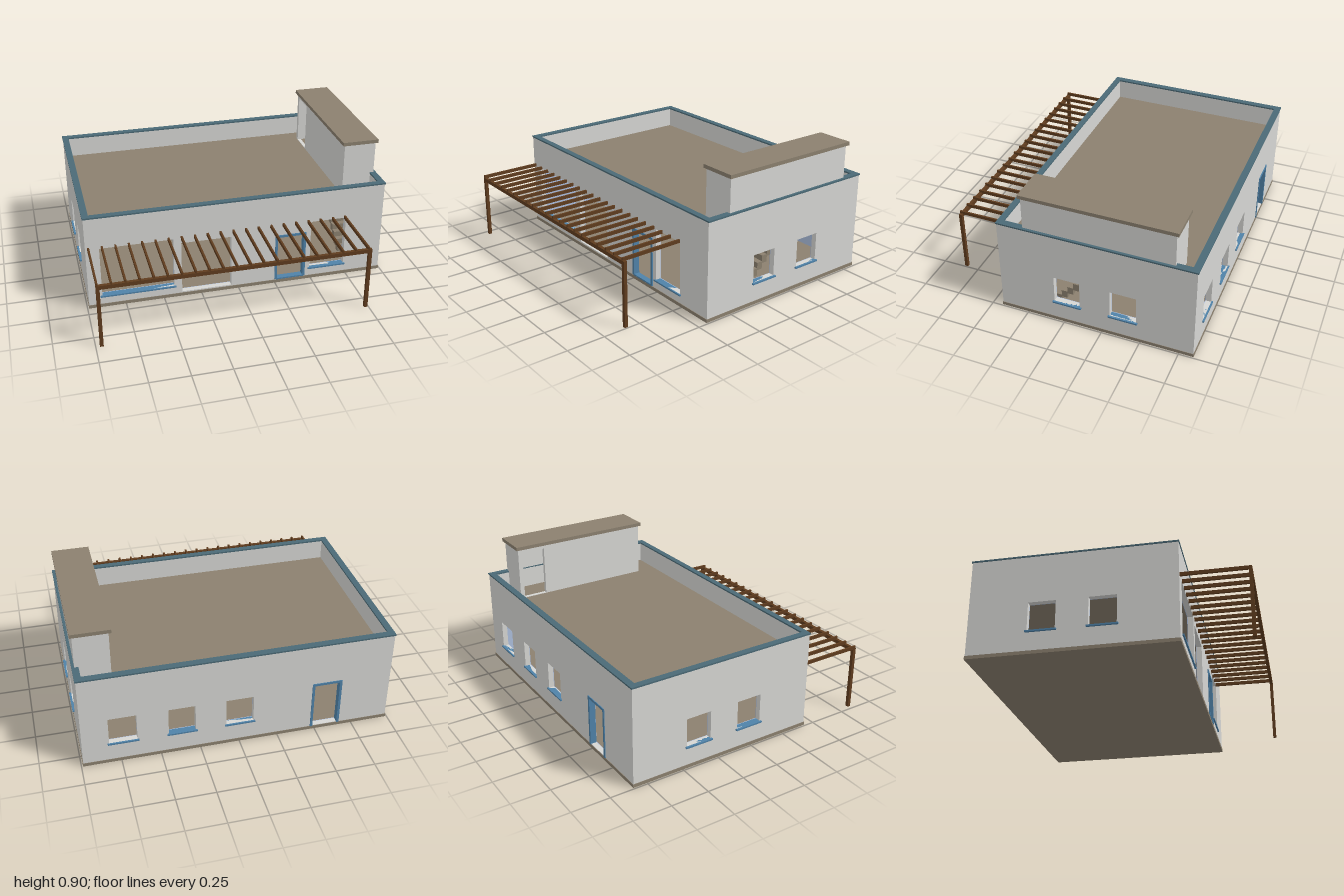
import * as THREE from 'three';

const mat = (name, color, extra = {}) => Object.assign(new THREE.MeshStandardMaterial({ color, ...extra }), { name });

export function createModel() {
  const wall = mat('plaster', 0xd6d6d3);
  const lining = mat('interior blue', 0xacbedd);
  const stone = mat('stone brown', 0x8b806f);
  const teal = mat('coping teal', 0x4b6a76);
  const trim = mat('trim blue', 0x4f82a8);
  const wood = mat('timber', 0x5f3c1e);

  const model = new THREE.Group();
  model.name = 'house';

  const add = (name, geo, m, parent = model) => {
    const mesh = new THREE.Mesh(geo, m);
    mesh.name = name;
    parent.add(mesh);
    return mesh;
  };
  // Box from its extents on each axis
  const box = (name, m, x0, x1, y0, y1, z0, z1, parent) => {
    const g = new THREE.BoxGeometry(x1 - x0, y1 - y0, z1 - z0);
    g.translate((x0 + x1) / 2, (y0 + y1) / 2, (z0 + z1) / 2);
    return add(name, g, m, parent);
  };
  const rect = (Type, a0, a1, b0, b1) => {
    const p = new Type();
    p.moveTo(a0, b0).lineTo(a1, b0).lineTo(a1, b1).lineTo(a0, b1).closePath();
    return p;
  };
  // Rectangular sheet with rectangular holes, each given as [a0, a1, b0, b1]
  const sheet = (outer, holes, depth) => {
    const s = rect(THREE.Shape, ...outer);
    s.holes = holes.map(h => rect(THREE.Path, ...h));
    return new THREE.ExtrudeGeometry(s, { depth, bevelEnabled: false });
  };
  // Wall panels: across x starting at z, or across z ending at x
  const wallX = (name, m, outer, holes, z, t) => add(name, sheet(outer, holes, t).translate(0, 0, z), m);
  const wallZ = (name, m, outer, holes, x, t) =>
    add(name, sheet(outer, holes, t).rotateY(-Math.PI / 2).translate(x, 0, 0), m);
  // Horizontal slab with holes, outlines given as x and z extents
  const slab = (name, m, outer, holes, yTop, t) =>
    add(name, sheet(outer, holes, t).rotateX(Math.PI / 2).translate(0, yTop, 0), m);

  const X = 0.987, ZF = 0.43, ZB = -0.84, T = 0.035, L = 0.004;
  const H = 0.645, ROOF = 0.51, CEIL = 0.49;

  // Openings as [from, to, bottom, top]
  const frontWindows = [[-0.9, -0.43, 0.083, 0.43], [0.49, 0.73, 0.083, 0.43]];
  const wideDoor = [-0.38, -0.05, 0.03, 0.395];
  const frontDoor = [0.257, 0.447, 0.03, 0.35];
  const backDoor = [-0.655, -0.48, 0.025, 0.35];
  const backWindows = [[-0.09, 0.085], [0.28, 0.45], [0.645, 0.82]].map(w => [...w, 0.15, 0.335]);
  const sideWindows = [[-0.472, -0.302], [-0.105, 0.065]].map(w => [...w, 0.15, 0.335]);
  const frontHoles = [...frontWindows, wideDoor, frontDoor];
  const backHoles = [...backWindows, backDoor];

  // Floor slab
  box('floorSlab', stone, -0.99, 0.99, 0, 0.022, ZB - 0.003, ZF + 0.004);

  // Outer walls with parapet
  wallX('frontWall', wall, [-X, X, 0.022, H], frontHoles, ZF - T, T);
  wallX('backWall', wall, [-X, X, 0.022, H], backHoles, ZB, T);
  const sideSpan = [ZB + T, ZF - T];
  wallZ('leftWall', wall, [...sideSpan, 0.022, H], sideWindows, X, T);
  wallZ('rightWall', wall, [...sideSpan, 0.022, H], sideWindows, -X + T, T);

  // Blue inner faces of the walls
  const inX = X - T;
  wallX('frontLining', lining, [-inX, inX, 0.022, CEIL], frontHoles, ZF - T - L, L);
  wallX('backLining', lining, [-inX, inX, 0.022, CEIL], backHoles, ZB + T, L);
  wallZ('leftLining', lining, [...sideSpan, 0.022, CEIL], sideWindows, inX, L);
  wallZ('rightLining', lining, [...sideSpan, 0.022, CEIL], sideWindows, -inX + L, L);

  // Roof with stairwell, and coping round the parapet
  slab('roof', stone, [-inX, inX, ...sideSpan], [[0.785, 0.945, -0.34, 0.23]], ROOF, ROOF - CEIL);
  slab('coping', teal, [-0.992, 0.992, ZB - 0.005, ZF + 0.004],
    [[-0.95, 0.95, ZB + 0.038, ZF - 0.035]], 0.655, 0.01);

  // Window sills
  const SILL = 0.01;
  for (const [a, b, y] of frontWindows)
    box('frontSill', trim, a - 0.012, b + 0.01, y - SILL, y, ZF - T, ZF + 0.01);
  for (const [a, b, y] of backWindows)
    box('backSill', trim, a - 0.01, b + 0.01, y - SILL, y, ZB - 0.01, ZB + T);
  for (const [a, b, y] of sideWindows) {
    box('leftSill', trim, X - T, 1, y - SILL, y, a - 0.01, b + 0.01);
    box('rightSill', trim, -1, -X + T, y - SILL, y, a - 0.01, b + 0.01);
  }

  // Door frames
  const doorFrame = (name, [a, b, y0, y1], z0, z1) => {
    const g = new THREE.Group();
    g.name = name;
    model.add(g);
    box('jamb', trim, a - 0.01, a + 0.006, y0 - 0.003, y1 + 0.01, z0, z1, g);
    box('jamb', trim, b - 0.006, b + 0.01, y0 - 0.003, y1 + 0.01, z0, z1, g);
    box('head', trim, a + 0.006, b - 0.006, y1 - 0.006, y1 + 0.01, z0, z1, g);
  };
  doorFrame('frontDoorFrame', frontDoor, ZF - T, ZF + 0.006);
  doorFrame('backDoorFrame', backDoor, ZB - 0.005, ZB + T);
  box('frontDoorThreshold', trim, frontDoor[0], frontDoor[1], 0.024, 0.034, ZF - T, ZF + 0.006);

  // Stair rising from front to back
  const stair = new THREE.Group();
  stair.name = 'stair';
  model.add(stair);
  for (let i = 0; i < 13; i++) {
    const top = 0.06 + i * 0.0375, z = 0.19 - i * 0.039;
    box('step', stone, 0.785, 0.945, Math.max(0.022, top - 0.05), top, z - 0.039, z, stair);
  }

  // Stair house on the roof, with a doorway to the terrace
  const hx0 = 0.76, hx1 = 0.975, hz0 = -0.705, hz1 = 0.26, hTop = 0.872, ht = 0.025;
  wallZ('stairHouseInnerWall', wall, [hz0 + ht, hz1 - ht, ROOF, hTop],
    [[-0.675, -0.51, ROOF + 0.003, 0.845]], hx0 + ht, ht);
  wallZ('stairHouseOuterWall', wall, [hz0 + ht, hz1 - ht, ROOF, hTop], [], hx1, ht);
  box('stairHouseFront', wall, hx0, hx1, ROOF, hTop, hz1 - ht, hz1);
  box('stairHouseBack', wall, hx0, hx1, ROOF, hTop, hz0, hz0 + ht);
  box('stairHouseRoof', stone, 0.745, 0.989, hTop, 0.896, -0.72, 0.272);

  // Pergola
  const pergola = new THREE.Group();
  pergola.name = 'pergola';
  model.add(pergola);
  for (const x of [-0.963, 0.732])
    box('post', wood, x - 0.011, x + 0.011, 0, 0.41, 0.829, 0.85, pergola);
  box('beam', wood, -0.974, 0.743, 0.405, 0.43, 0.829, 0.85, pergola);
  for (let i = 0; i < 21; i++) {
    const x = -0.967 + i * 0.0844;
    box('rafter', wood, x - 0.006, x + 0.006, 0.425, 0.447, ZF, 0.848, pergola);
  }

  return model;
}
